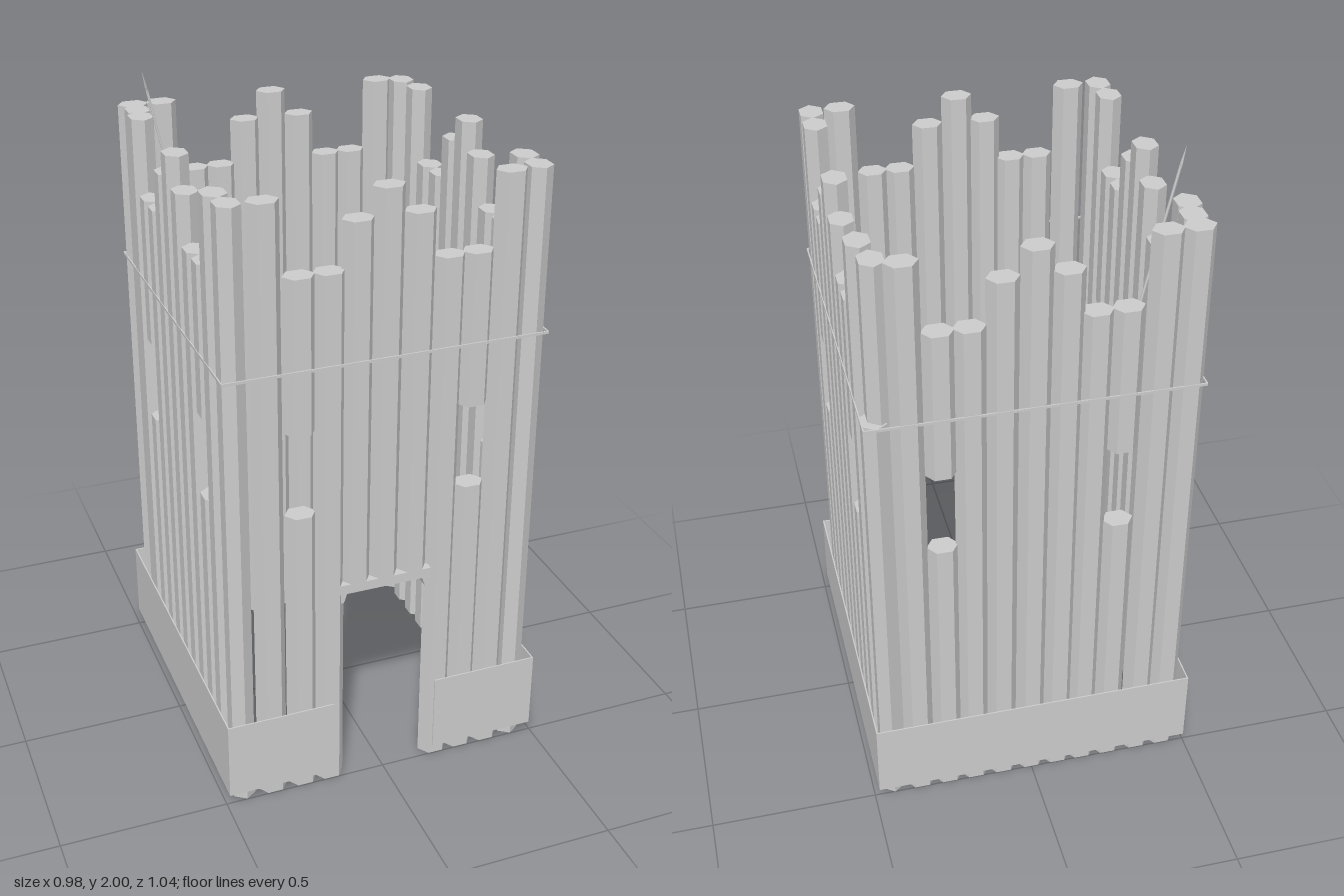
import * as THREE from 'three';

const GREY = new THREE.MeshStandardMaterial({ color: 0xcccccc, flatShading: true });

// Log pitch positions, log heights and the logs that carry an arrow slit
const X_POS = [-0.345, -0.25, -0.165, -0.085, 0, 0.09, 0.178, 0.262, 0.35];
const Z_POS = [0.365, 0.28, 0.192, 0.105, 0.02, -0.065, -0.15, -0.24, -0.335];
const HEIGHTS = [1.855, 1.64, 1.64, 1.775, 1.855, 1.775, 1.64, 1.64, 1.855];
const SLITS = [1, 7];
const SLIT_LOW = 0.93, SLIT_HIGH = 1.185;
const LOG_R = 0.046, LOG_HALF_DEPTH = 0.033;

function add(parent, name, geometry, x = 0, y = 0, z = 0) {
  const mesh = new THREE.Mesh(geometry, GREY);
  mesh.name = name;
  mesh.position.set(x, y, z);
  parent.add(mesh);
  return mesh;
}

// Six-sided log from y0 to y1, its points lying along the wall
function log(parent, name, x, z, y0, y1, alongX) {
  const g = new THREE.CylinderGeometry(LOG_R, LOG_R, y1 - y0, 6);
  g.scale(LOG_HALF_DEPTH / (LOG_R * Math.sqrt(0.75)), 1, 1);
  if (alongX) g.rotateY(Math.PI / 2);
  return add(parent, name, g, x, (y0 + y1) / 2, z);
}

// Row of logs; slit logs are cut in two, door logs start above the lintel
function wall(name, place, alongX, hasDoor) {
  const group = new THREE.Group();
  group.name = name;
  HEIGHTS.forEach((height, i) => {
    const [x, z] = place(i);
    if (SLITS.includes(i)) {
      log(group, 'logBelowSlit', x, z, 0, SLIT_LOW, alongX);
      log(group, 'logAboveSlit', x, z, SLIT_HIGH, height, alongX);
    } else {
      const overDoor = hasDoor && i >= 3 && i <= 5;
      log(group, overDoor ? 'logOverDoor' : 'log', x, z, overDoor ? 0.68 : 0, height, alongX);
    }
  });
  return group;
}

function box(parent, name, x0, x1, y0, y1, z0, z1) {
  return add(parent, name, new THREE.BoxGeometry(x1 - x0, y1 - y0, z1 - z0),
    (x0 + x1) / 2, (y0 + y1) / 2, (z0 + z1) / 2);
}

export function createModel() {
  const tower = new THREE.Group();
  tower.name = 'palisadeTower';

  // Four log walls
  tower.add(wall('frontWall', (i) => [X_POS[i], 0.465], true, true));
  tower.add(wall('backWall', (i) => [X_POS[i], -0.467], true, false));
  tower.add(wall('leftWall', (i) => [0.437, Z_POS[i]], false, false));
  tower.add(wall('rightWall', (i) => [-0.442, Z_POS[i]], false, false));

  // Corner posts
  log(tower, 'cornerPost', -0.435, 0.453, 0, 1.855, false);
  log(tower, 'cornerPost', 0.435, 0.453, 0, 1.855, false);
  log(tower, 'cornerPost', -0.43, -0.467, 0, 1.855, true);
  log(tower, 'cornerPost', -0.433, -0.405, 0, 1.855, false);
  log(tower, 'cornerPost', 0.42, -0.437, 0, 1.855, false);
  log(tower, 'lowerCornerPost', 0.437, -0.455, 0, 1.38, false);

  // Thin cord tied round the walls
  const cord = new THREE.Group();
  cord.name = 'cord';
  tower.add(cord);
  for (const s of [-1, 1]) {
    box(cord, 'cordAcross', -0.476, 0.472, 1.374, 1.382, s * 0.5 - 0.002, s * 0.5 + 0.002);
    const x = s > 0 ? 0.471 : -0.475;
    box(cord, 'cordAlong', x - 0.002, x + 0.002, 1.374, 1.382, -0.5, 0.5);
  }

  // Plank skirt around the foot, open at the doorway
  const skirt = new THREE.Group();
  skirt.name = 'skirt';
  tower.add(skirt);
  const T = 0.004, LOW = 0.043, HIGH = 0.288;
  box(skirt, 'skirtBack', -0.494, 0.488, LOW, HIGH, -0.522, -0.522 + T);
  box(skirt, 'skirtFrontRight', -0.494, -0.166, LOW, HIGH, 0.518 - T, 0.518);
  box(skirt, 'skirtFrontLeft', 0.158, 0.488, LOW, HIGH, 0.518 - T, 0.518);
  box(skirt, 'skirtRight', -0.494, -0.494 + T, LOW, HIGH, -0.522, 0.518);
  box(skirt, 'skirtLeft', 0.488 - T, 0.488, LOW, HIGH, -0.522, 0.518);

  // Door lintel with a small bracket at each end
  box(tower, 'lintel', -0.145, 0.14, 0.652, 0.682, 0.435, 0.498);
  for (const s of [-1, 1]) {
    const shape = new THREE.Shape();
    shape.moveTo(0, 0);
    shape.lineTo(s * 0.025, 0);
    shape.lineTo(s * 0.025, -0.035);
    shape.lineTo(s * 0.012, -0.035);
    const g = new THREE.ExtrudeGeometry(shape, { depth: 0.05, bevelEnabled: false });
    add(tower, 'lintelBracket', g, s * 0.115, 0.653, 0.44);
  }

  // Spear leaning on the right wall, modelled upright and then tilted
  const spear = new THREE.Group();
  spear.name = 'spear';
  const foot = new THREE.Vector3(-0.29, 1.3, -0.298);
  const tip = new THREE.Vector3(-0.441, 2.0, -0.302);
  const length = foot.distanceTo(tip);
  add(spear, 'spearShaft', new THREE.CylinderGeometry(0.004, 0.004, length - 0.06, 6), 0, (length - 0.06) / 2, 0);
  const head = new THREE.LatheGeometry([
    new THREE.Vector2(0, 0), new THREE.Vector2(0.009, 0.03), new THREE.Vector2(0, 0.085),
  ], 4);
  head.scale(0.4, 1, 1);
  add(spear, 'spearHead', head, 0, length - 0.085, 0);
  spear.position.copy(foot);
  spear.quaternion.setFromUnitVectors(new THREE.Vector3(0, 1, 0), tip.clone().sub(foot).normalize());
  tower.add(spear);

  return tower;
}
